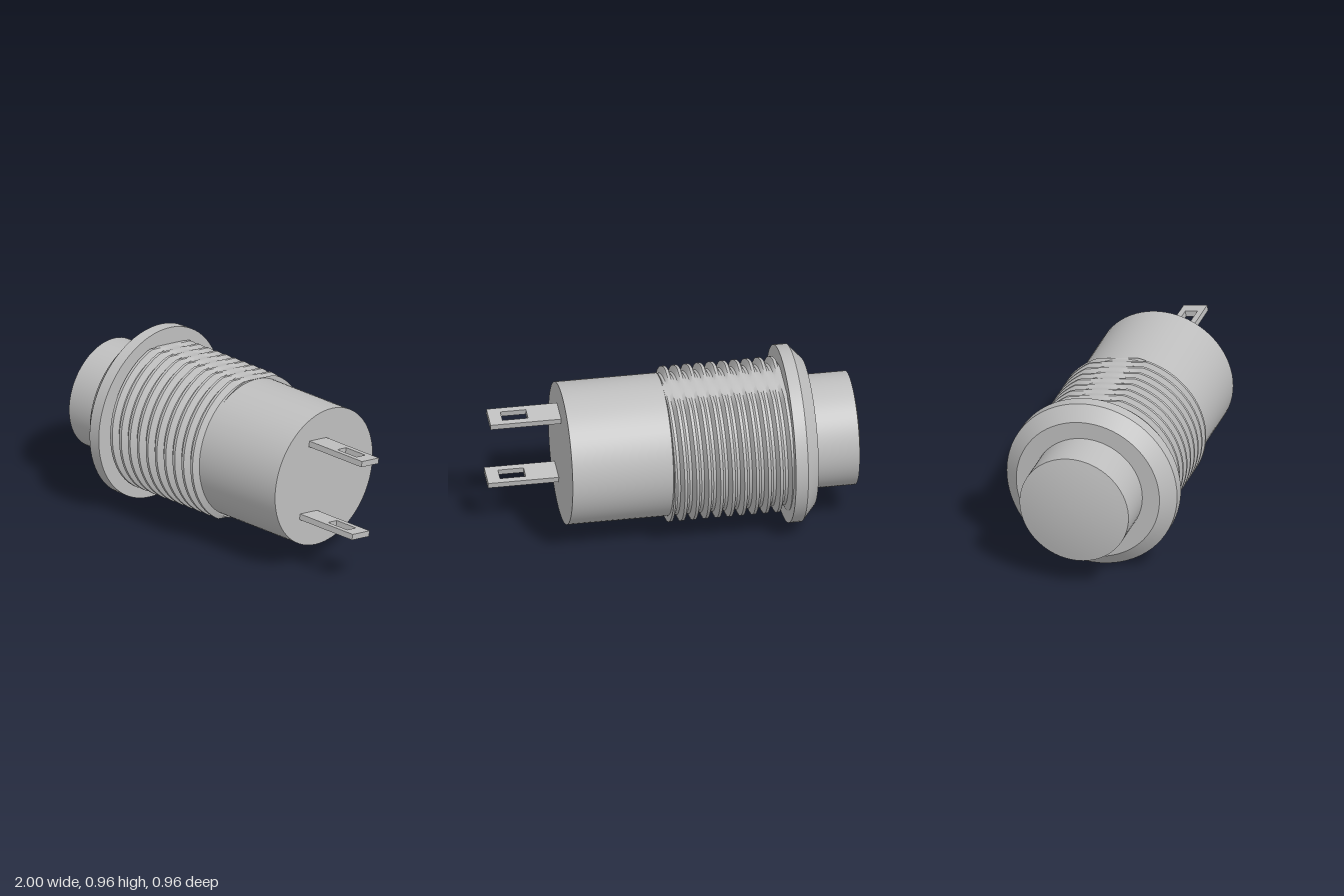
import * as THREE from 'three';
import { toCreasedNormals } from 'three/addons/utils/BufferGeometryUtils.js';

const TILT = 0.176; // roll of the flats and pins about the long axis
const metal = new THREE.MeshStandardMaterial({ color: 0xbfbfbf });
metal.name = 'grey';

function mesh(name, geometry, crease = 0.4) {
  const m = new THREE.Mesh(toCreasedNormals(geometry, crease), metal);
  m.name = name;
  return m;
}

// Solid of revolution about x; points are [radius, x]
function turned(name, points) {
  const profile = points.map(([r, x]) => new THREE.Vector2(r, x));
  return mesh(name, new THREE.LatheGeometry(profile, 72).rotateZ(-Math.PI / 2));
}

// Helical thread with two opposite flats cut into it
function threadGeometry(x0, x1, pitch, root, crest, flat) {
  const segments = 120, breaks = [0, 0.12, 0.38, 0.62, 0.88];
  const radiusAt = (x, t) => {
    let f = (x - x0 - 0.018) / pitch + 0.5 - t / (2 * Math.PI);
    f -= Math.floor(f);
    const rise = THREE.MathUtils.clamp((0.5 - Math.abs(f - 0.5) - 0.12) / 0.26, 0, 1);
    return Math.min(root + (crest - root) * rise, flat / Math.max(Math.abs(Math.cos(t + TILT)), 0.01));
  };
  const rows = [];
  const turns = Math.ceil((x1 - x0) / pitch) + 1;
  for (let k = -2; k <= turns; k++) for (const b of breaks) rows.push(k + b - 0.5);
  const positions = [], index = [];
  const put = (x, r, t) => positions.push(x, r * Math.cos(t), r * Math.sin(t));
  for (const row of rows) {
    for (let j = 0; j <= segments; j++) {
      const t = (j / segments) * 2 * Math.PI;
      const x = THREE.MathUtils.clamp(x0 + 0.018 + pitch * (row + t / (2 * Math.PI)), x0, x1);
      put(x, radiusAt(x, t), t);
    }
  }
  // Closing ring down to the body
  for (let j = 0; j <= segments; j++) put(x1, root - 0.01, (j / segments) * 2 * Math.PI);
  for (let i = 0; i < rows.length; i++) {
    for (let j = 0; j < segments; j++) {
      const a = i * (segments + 1) + j, c = a + segments + 1;
      index.push(a, a + 1, c, a + 1, c + 1, c);
    }
  }
  const g = new THREE.BufferGeometry();
  g.setAttribute('position', new THREE.Float32BufferAttribute(positions, 3));
  g.setIndex(index);
  return g;
}

// Flat solder pin with a rectangular eye
function pin(name, y, z) {
  const rect = (Type, xa, xb, h) => new Type([[xa, -h], [xb, -h], [xb, h], [xa, h]].map(p => new THREE.Vector2(...p)));
  const shape = rect(THREE.Shape, 0.6, 1, 0.068);
  shape.holes.push(rect(THREE.Path, 0.79, 0.93, 0.035));
  const g = new THREE.ExtrudeGeometry(shape, { depth: 0.032, bevelEnabled: false }).translate(0, 0, -0.016);
  const m = mesh(name, g);
  m.rotation.x = Math.PI / 2 - TILT;
  m.position.set(0, y, z);
  return m;
}

export function createModel() {
  const group = new THREE.Group();
  group.name = 'pushButtonSwitch';

  // Button with a shallow domed face
  const dome = [];
  for (let i = 0; i <= 8; i++) {
    const r = 0.308 * i / 8;
    dome.push([r, -1 + 0.034 * (i / 8) ** 2]);
  }
  group.add(turned('button', [...dome, [0.308, -0.7]]));

  // Chamfered bezel
  group.add(turned('bezel', [[0, -0.725], [0.405, -0.725], [0.482, -0.655], [0.482, -0.588], [0, -0.588]]));

  // Plain barrel and the threaded section around it
  group.add(turned('barrel', [[0.38, -0.59], [0.38, 0.064], [0.387, 0.064], [0.387, 0.615], [0, 0.615]]));
  group.add(mesh('thread', threadGeometry(-0.588, 0.065, 0.0653, 0.385, 0.42, 0.388), 0.35));

  group.add(pin('upperPin', 0.22, 0.05), pin('lowerPin', -0.187, 0.124));

  group.children.forEach(part => { part.position.y += 0.482; });
  return group;
}
